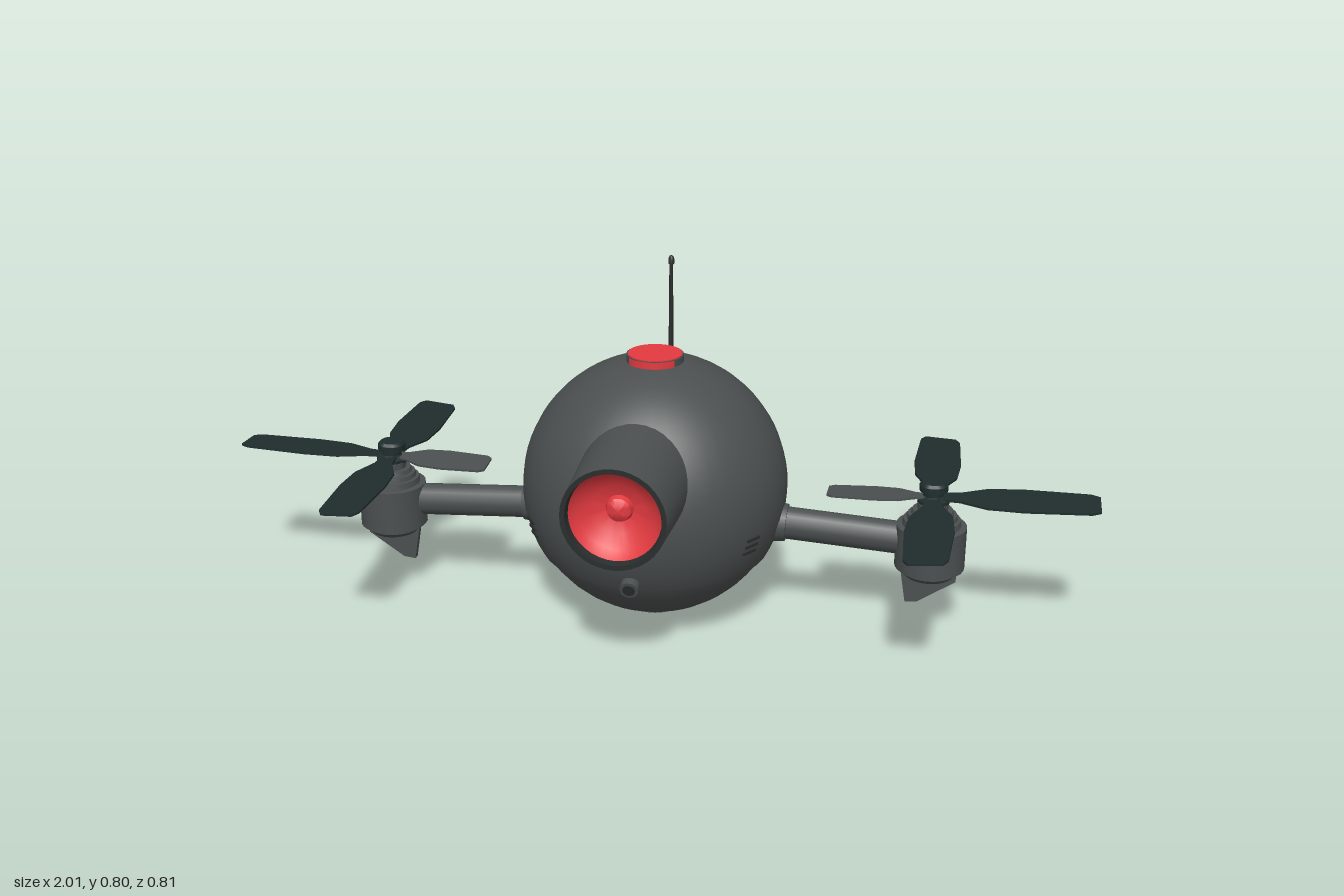
import * as THREE from 'three';
import { toCreasedNormals } from 'three/addons/utils/BufferGeometryUtils.js';

const mat = (name, color, side = THREE.FrontSide) => {
  const m = new THREE.MeshStandardMaterial({ color, side });
  m.name = name;
  return m;
};
const V2 = (p) => new THREE.Vector2(p[0], p[1]);

export function createModel() {
  const shell = mat('shellGrey', 0x4b4f4f);
  const shellOpen = mat('shellGreyThin', 0x4b4f4f, THREE.DoubleSide);
  const blade = mat('bladeDarkGreen', 0x1f2d2c);
  const dark = mat('darkTrim', 0x2a2d2d);
  const red = mat('signalRed', 0xe23a40);
  const root = new THREE.Group();
  root.name = 'drone';

  const add = (parent, name, geo, material, x = 0, y = 0, z = 0) => {
    const m = new THREE.Mesh(geo, material);
    m.name = name;
    m.position.set(x, y, z);
    parent.add(m);
    return m;
  };
  const lathe = (pts, seg = 32) => toCreasedNormals(new THREE.LatheGeometry(pts.map(V2), seg), 0.6);
  const cyl = (r1, r2, h, seg = 24) => new THREE.CylinderGeometry(r1, r2, h, seg);

  // Round body: upper shell and a slightly smaller lower bowl
  const C = new THREE.Vector3(0, 0.31, -0.043), R = 0.306;
  const seam = Math.PI / 2 + Math.asin(0.15 / R);
  add(root, 'upperShell', new THREE.SphereGeometry(R, 40, 24, 0, Math.PI * 2, 0, seam), shellOpen, C.x, C.y, C.z);
  add(root, 'lowerShell', new THREE.SphereGeometry(R - 0.005, 40, 24), shell, C.x, C.y, C.z);

  // Raised rounded panels on the upper back, bent onto the sphere
  for (const s of [-1, 1]) {
    const g = new THREE.RingGeometry(0.001, 1, 40, 6);
    const p = g.attributes.position;
    for (let i = 0; i < p.count; i++) {
      const r = Math.hypot(p.getX(i), p.getY(i));
      const a = Math.atan2(p.getY(i), p.getX(i));
      const k = r / Math.pow(Math.abs(Math.cos(a)) ** 6 + Math.abs(Math.sin(a)) ** 6, 1 / 6);
      const az = Math.PI - s * 0.53 + k * Math.cos(a) * 0.36;
      const el = 0.49 + k * Math.sin(a) * 0.31;
      const rad = r > 0.97 ? R - 0.002 : R + 0.005;
      p.setXYZ(i, rad * Math.cos(el) * Math.sin(az), rad * Math.sin(el), rad * Math.cos(el) * Math.cos(az));
    }
    g.computeVertexNormals();
    add(root, 'backPanel', g, shellOpen, C.x, C.y, C.z);
  }

  // Forward barrel with a red dish
  const barrel = new THREE.Group();
  barrel.name = 'eyeBarrel';
  barrel.position.set(0, 0.406, 0);
  barrel.rotation.x = Math.PI / 2;
  root.add(barrel);
  add(barrel, 'barrelTube', lathe([[0.128, 0.1], [0.124, 0.2], [0.114, 0.405]], 36), shell);
  add(barrel, 'barrelRim', lathe([[0.114, 0.405], [0.103, 0.405], [0.1, 0.385]], 36), dark);
  add(barrel, 'eyeDish', lathe([[0.1, 0.387], [0.085, 0.365], [0.055, 0.345], [0.03, 0.338], [0.026, 0.35],
    [0.014, 0.358], [0, 0.36]], 36), red);

  // Top lamp, with its red face wrapping over the front edge
  add(root, 'lampHousing', cyl(0.065, 0.065, 0.045, 32), shell, 0, 0.602, -0.04);
  add(root, 'lampFace', cyl(0.062, 0.062, 0.004, 32), red, 0, 0.6245, -0.04);
  add(root, 'lampFront', new THREE.CylinderGeometry(0.0662, 0.0662, 0.022, 16, 1, true, -0.9, 1.8), red, 0, 0.613, -0.04);

  // Bottom foot
  add(root, 'foot', cyl(0.058, 0.058, 0.03, 32), shell, 0, 0.015, -0.043);

  // Antenna
  add(root, 'antenna', cyl(0.0045, 0.006, 0.26, 10), dark, -0.004, 0.65, -0.25);
  add(root, 'antennaTip', lathe([[0, 0.772], [0.007, 0.776], [0.007, 0.788], [0.004, 0.795], [0, 0.796]], 10), dark, -0.004, 0, -0.25);

  // Small sensor low on the front
  const sensor = new THREE.Group();
  sensor.name = 'frontSensor';
  sensor.position.set(0, 0.181, 0.225);
  sensor.rotation.x = Math.PI / 2 + 0.28;
  root.add(sensor);
  add(sensor, 'sensorBarrel', cyl(0.021, 0.021, 0.06, 16), shell);
  add(sensor, 'sensorLens', cyl(0.014, 0.014, 0.004, 16), dark, 0, 0.03, 0);

  // Blade outline along +x
  const half = [[0.015, 0.017], [0.06, 0.022], [0.12, 0.048], [0.2, 0.054], [0.345, 0.047], [0.365, 0.036]];
  const outline = half.map(([x, y]) => [x, -y]).concat([...half].reverse());
  const bladeGeo = new THREE.ExtrudeGeometry(new THREE.Shape(outline.map(V2)), { depth: 0.005, bevelEnabled: false });
  bladeGeo.translate(0, 0, -0.0025).rotateX(-Math.PI / 2 + 0.07);

  for (const s of [-1, 1]) {
    const side = s > 0 ? 'left' : 'right';

    // Side vents
    for (const y of [0.228, 0.244, 0.26]) {
      const dy = y - C.y, dz = 0.12 - C.z;
      const x = Math.sqrt(R * R - dy * dy - dz * dz);
      const vent = add(root, side + 'Vent', new THREE.BoxGeometry(0.006, 0.006, 0.04), dark, s * x, y, 0.12);
      vent.rotation.y = -s * Math.atan2(dz, x);
    }

    // Arm and its socket
    const arm = new THREE.Group();
    arm.name = side + 'Arm';
    arm.position.set(s * 0.43, 0.232, -0.033);
    arm.rotation.z = -s * (Math.PI / 2 + 0.055);
    root.add(arm);
    const beam = add(arm, 'armBeam', cyl(0.038, 0.038, 0.32, 16), shell);
    beam.scale.z = 0.88;
    add(arm, 'armSocket', cyl(0.043, 0.052, 0.06, 20), shell, 0, -0.15, 0);

    // Motor pod with stepped collar
    const pod = new THREE.Group();
    pod.name = side + 'Motor';
    pod.position.set(s * 0.638, 0, -0.029);
    root.add(pod);
    add(pod, 'motorHousing', lathe([[0, 0.142], [0.055, 0.142], [0.064, 0.152], [0.064, 0.163], [0.079, 0.163], [0.079, 0.264],
      [0.066, 0.266], [0.064, 0.28], [0.057, 0.281], [0.055, 0.292], [0.048, 0.293], [0.045, 0.303],
      [0.034, 0.304], [0.034, 0.318], [0, 0.318]], 28), shell);

    // Fin below the motor
    const fin = [[-0.066, 0.165], [-0.05, 0.07], [-0.022, 0.073], [0.062, 0.13], [0.062, 0.165]];
    const finGeo = new THREE.ExtrudeGeometry(new THREE.Shape(fin.map(([x, y]) => new THREE.Vector2(s * x, y))),
      { depth: 0.016, bevelEnabled: false });
    add(pod, 'motorFin', finGeo, shell, 0, 0, -0.008);

    // Propeller: three long blades and a short grey one facing the body
    const prop = new THREE.Group();
    prop.name = side + 'Propeller';
    prop.position.set(s * 0.638, 0.33, -0.036);
    prop.rotation.z = s * 0.025;
    root.add(prop);
    add(prop, 'propellerHub', lathe([[0, -0.016], [0.036, -0.014], [0.036, -0.004], [0.022, 0.004], [0.022, 0.012],
      [0.032, 0.016], [0.032, 0.03], [0.026, 0.036], [0, 0.037]], 20), blade);
    for (let i = 0; i < 4; i++) {
      const a = i * Math.PI / 2;
      const inner = Math.cos(a) * s < -0.5;
      const b = add(prop, inner ? 'innerBlade' : 'propellerBlade', bladeGeo, inner ? shell : blade);
      b.rotation.y = a;
      if (inner) b.scale.set(0.65, 1, 0.85);
    }
  }
  return root;
}
